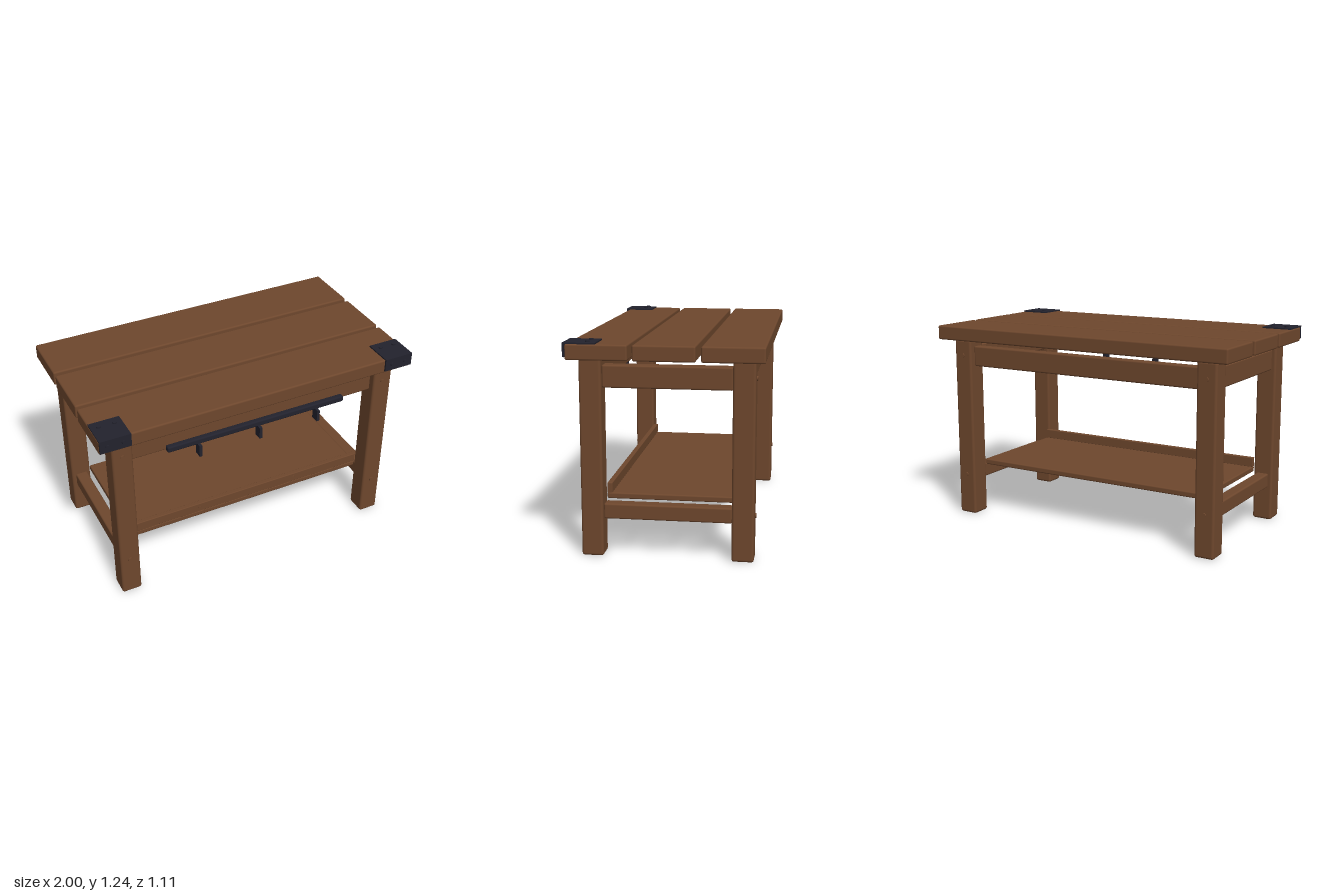
import * as THREE from 'three';
import { RoundedBoxGeometry } from 'three/addons/geometries/RoundedBoxGeometry.js';

export function createModel() {
  const model = new THREE.Group();
  model.name = 'workbench';

  const wood = new THREE.MeshStandardMaterial({ color: 0x6e472d });
  wood.name = 'brown wood';
  const metal = new THREE.MeshStandardMaterial({ color: 0x22222d });
  metal.name = 'dark metal';

  // Box given by its [min, max] on each axis, with rounded edges when r > 0
  function block(name, [x0, x1], [y0, y1], [z0, z1], r, material = wood) {
    const size = [x1 - x0, y1 - y0, z1 - z0];
    const geometry = r > 0 ? new RoundedBoxGeometry(...size, 2, r) : new THREE.BoxGeometry(...size);
    const mesh = new THREE.Mesh(geometry, material);
    mesh.position.set((x0 + x1) / 2, (y0 + y1) / 2, (z0 + z1) / 2);
    mesh.name = name;
    model.add(mesh);
  }

  // Short bolt head centred on a point, along z or standing up along y
  function bolt(name, x, y, z, radius, length, axis, material) {
    const mesh = new THREE.Mesh(new THREE.CylinderGeometry(radius, radius, length, 12), material);
    if (axis === 'z') mesh.rotation.x = Math.PI / 2;
    mesh.position.set(x, y, z);
    mesh.name = name;
    model.add(mesh);
  }

  // Table top planks
  for (const z of [0.362, -0.008, -0.382]) {
    block('topPlank', [-1, 1], [1.137, 1.225], [z - 0.172, z + 0.172], 0.01);
  }

  // Legs with bolt heads on their outer faces
  for (const side of [-1, 1]) {
    const x = side * 0.852;
    for (const [name, z, out] of [['frontLeg', 0.418, 1], ['backLeg', -0.436, -1]]) {
      block(name, [x - 0.062, x + 0.062], [0, 1.137], [z - 0.063, z + 0.063], 0.015);
      for (const y of [1.037, 0.26]) {
        bolt('legBolt', x, y, z + out * 0.062, 0.014, 0.016, 'z', wood);
      }
    }

    // Upper and lower side rails
    block('upperSideRail', [x - 0.038, x + 0.038], [0.97, 1.098], [-0.373, 0.355], 0.01);
    block('lowerSideRail', [x - 0.038, x + 0.038], [0.216, 0.305], [-0.373, 0.355], 0.01);
  }

  // Long rails under the top
  block('frontApron', [-0.788, 0.788], [0.97, 1.098], [0.385, 0.445], 0.01);
  block('backApron', [-0.788, 0.788], [0.97, 1.098], [-0.466, -0.406], 0.01);

  // Lower shelf with a screwed front lip
  block('shelf', [-0.792, 0.792], [0.307, 0.342], [-0.373, 0.355], 0.008);
  block('shelfLip', [-0.792, 0.792], [0.34, 0.4], [0.325, 0.355], 0.004);
  for (const x of [-0.33, 0.33]) bolt('lipScrew', x, 0.37, 0.355, 0.011, 0.008, 'z', wood);

  // Tool rail with three hooks
  block('toolRail', [-0.58, 0.58], [0.967, 1.006], [0.443, 0.479], 0.01, metal);
  for (const x of [-0.388, 0, 0.388]) {
    block('toolHook', [x - 0.009, x + 0.009], [0.9, 0.975], [0.455, 0.508], 0, metal);
  }

  // Angled corner brackets with bolts
  for (const side of [-1, 1]) {
    const span = [side * 0.907 - 0.092, side * 0.907 + 0.092];
    block('bracketTop', span, [1.225, 1.233], [0.365, 0.546], 0, metal);
    block('bracketFront', span, [1.153, 1.233], [0.535, 0.546], 0, metal);
    for (const dx of [-0.046, 0.046]) {
      const x = side * 0.907 + dx;
      bolt('bracketTopBolt', x, 1.235, 0.415, 0.012, 0.012, 'y', metal);
      bolt('bracketFrontBolt', x, 1.192, 0.548, 0.012, 0.012, 'z', metal);
    }
  }

  return model;
}
